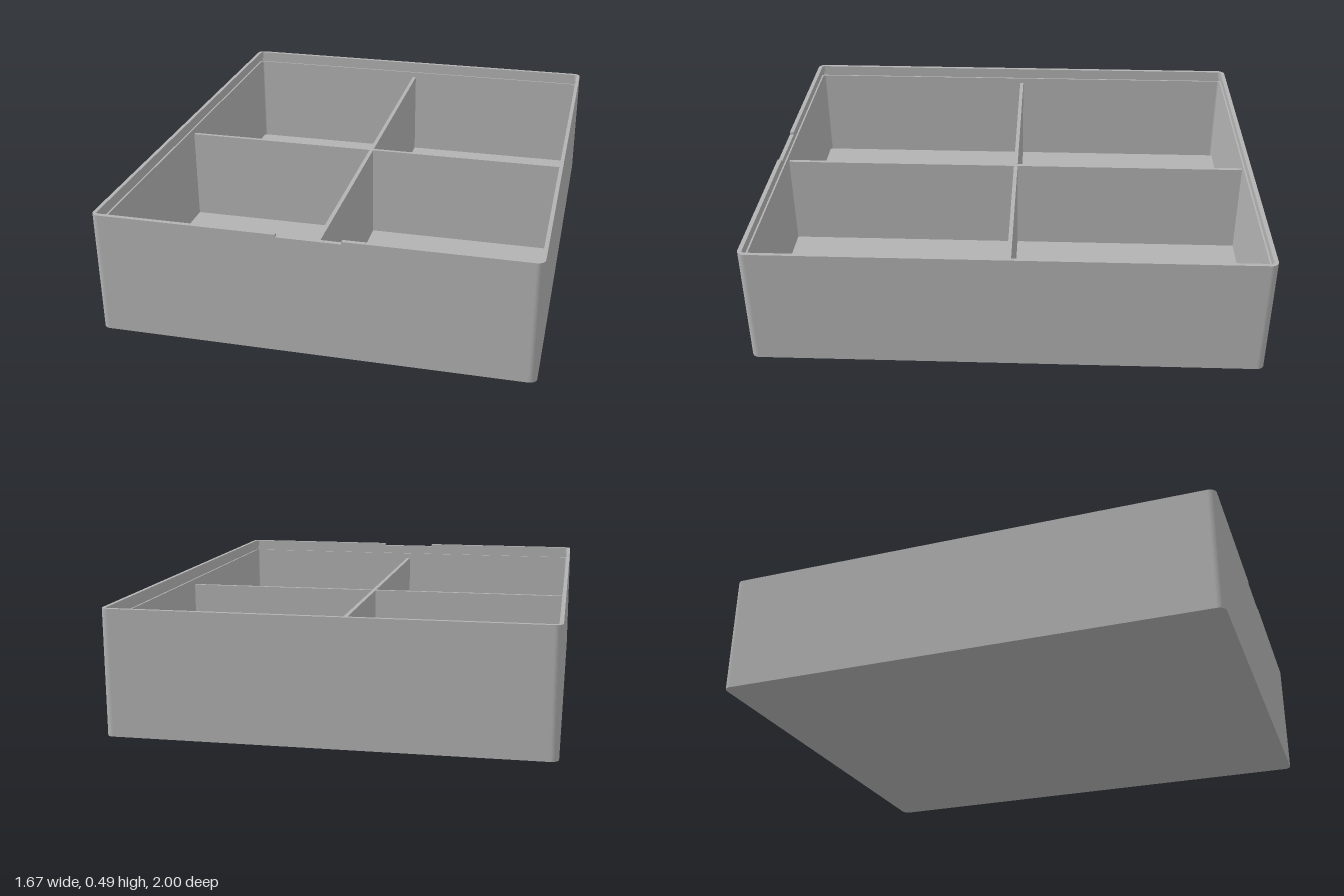
import * as THREE from 'three';

const W = 0.835, D = 1.0, H = 0.485;   // outer half width, half depth, height
const IW = 0.82, ID = 0.983;           // inner half width and half depth
const FLOOR = 0.018, DIVIDER_TOP = 0.41, NOTCH_Y = 0.475, NOTCH = 0.122;

// Rounded rectangle outline, anticlockwise, starting and ending at the front middle
function outline(w, d, r, gap = 0) {
  const pts = [new THREE.Vector2(gap, -d)];
  const corners = [[1, -1], [1, 1], [-1, 1], [-1, -1]];
  corners.forEach(([sx, sy], i) => {
    for (let k = 0; k <= 12; k++) {
      const a = (i - 1 + k / 12) * Math.PI / 2;
      pts.push(new THREE.Vector2(sx * (w - r) + r * Math.cos(a), sy * (d - r) + r * Math.sin(a)));
    }
  });
  if (gap) pts.push(new THREE.Vector2(-gap, -d));
  return pts;
}

// Flat shape raised from y0 to y1
function raise(shape, y0, y1) {
  const g = new THREE.ExtrudeGeometry(shape, { depth: y1 - y0, bevelEnabled: false });
  return g.rotateX(-Math.PI / 2).translate(0, y0, 0);
}

function ring(iw, id) {
  const shape = new THREE.Shape(outline(W, D, 0.03));
  shape.holes.push(new THREE.Path(outline(iw, id, 0.012)));
  return shape;
}

export function createModel() {
  const group = new THREE.Group();
  const grey = new THREE.MeshStandardMaterial({ color: 0xb2b2b2 });
  grey.name = 'plain grey';
  const add = (name, geometry) => {
    const mesh = new THREE.Mesh(geometry, grey);
    mesh.name = name;
    group.add(mesh);
  };

  add('floor', raise(new THREE.Shape(outline(W, D, 0.03)), 0, FLOOR));

  // Walls with a shallow groove for the lid just under the rim
  add('walls', raise(ring(IW, ID), FLOOR, 0.435));
  add('lidGroove', raise(ring(IW + 0.007, ID + 0.007), 0.435, 0.455));
  add('lip', raise(ring(IW, ID), 0.455, NOTCH_Y));

  // Rim, left open at the front as a finger notch
  const rim = new THREE.Shape([
    ...outline(W, D, 0.03, NOTCH),
    ...outline(IW, ID, 0.012, NOTCH).reverse(),
  ]);
  add('notchedRim', raise(rim, NOTCH_Y, H));

  // Crossed dividers, lower than the rim
  const h = DIVIDER_TOP - FLOOR, y = FLOOR + h / 2;
  add('lengthDivider', new THREE.BoxGeometry(0.016, h, 2 * ID).translate(0, y, 0));
  for (const s of [-1, 1]) {
    const len = IW - 0.008;
    add('crossDivider', new THREE.BoxGeometry(len, h, 0.016).translate(s * (0.008 + len / 2), y, -0.007));
  }
  return group;
}
